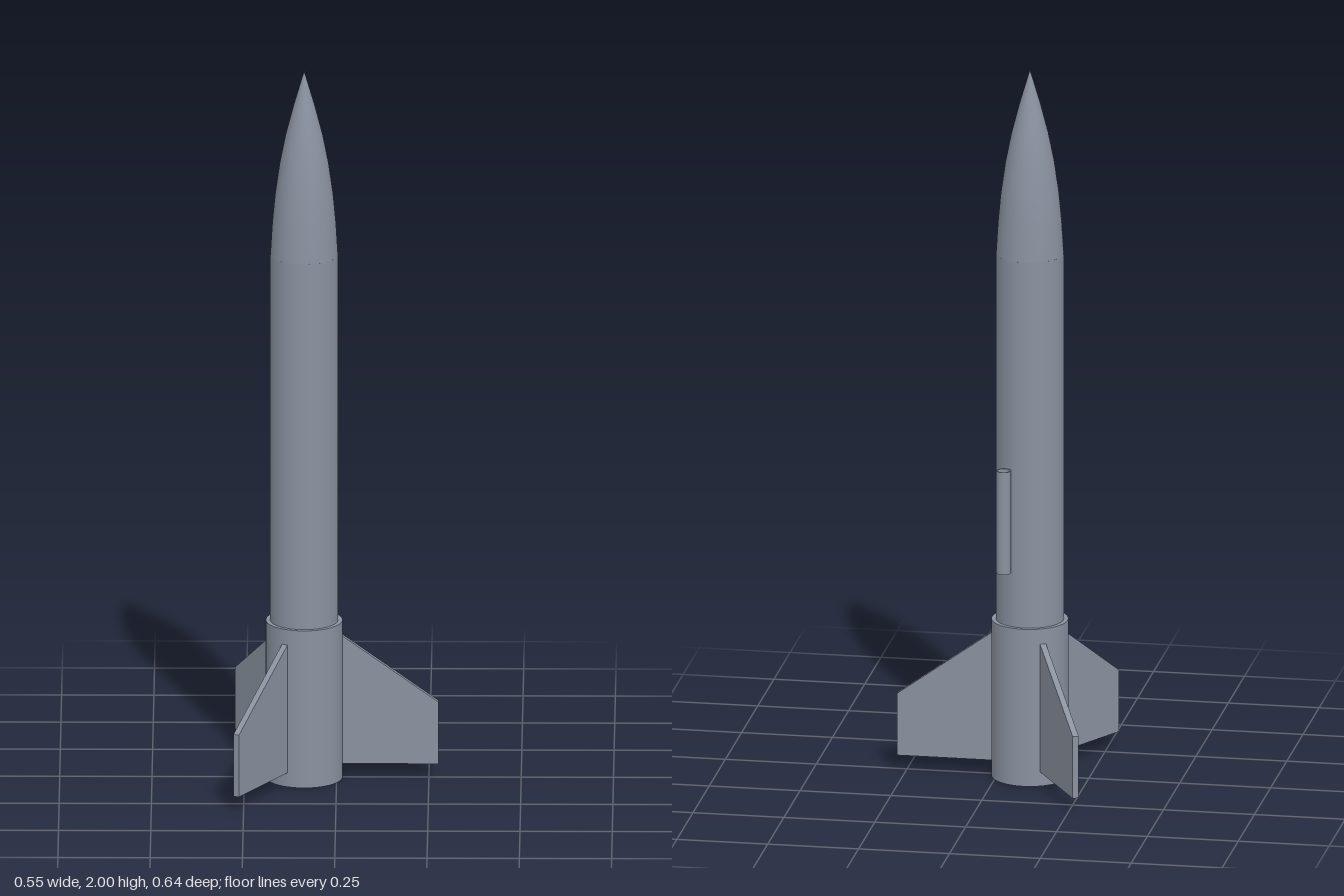
import * as THREE from 'three';

const grey = new THREE.MeshStandardMaterial({ color: 0x8a92a0 });
grey.name = 'slate grey';

const AXIS_X = -0.088;

export function createModel() {
  const rocket = new THREE.Group();
  rocket.name = 'rocket';

  const add = (name, geometry, x = AXIS_X, y = 0, z = 0) => {
    const mesh = new THREE.Mesh(geometry, grey);
    mesh.name = name;
    mesh.position.set(x, y, z);
    rocket.add(mesh);
    return mesh;
  };

  // Hollow tube with crisp rims, standing on y = 0
  const tube = (outer, inner, height, segments) => {
    const shape = new THREE.Shape().absarc(0, 0, outer, 0, Math.PI * 2, false);
    shape.holes.push(new THREE.Path().absarc(0, 0, inner, 0, Math.PI * 2, true));
    const geometry = new THREE.ExtrudeGeometry(shape, {
      depth: height, bevelEnabled: false, curveSegments: segments,
    });
    geometry.rotateX(-Math.PI / 2);
    // Smooth the walls by pointing their normals radially
    const p = geometry.attributes.position, n = geometry.attributes.normal;
    for (let i = 0; i < p.count; i++) {
      if (Math.abs(n.getY(i)) > 0.5) continue;
      const r = Math.hypot(p.getX(i), p.getZ(i));
      const side = r > (outer + inner) / 2 ? 1 : -1;
      n.setXYZ(i, side * p.getX(i) / r, 0, side * p.getZ(i) / r);
    }
    return geometry;
  };

  // Body and the wider sleeve carrying the fins
  add('bodyTube', tube(0.092, 0.086, 1.48, 48));
  add('finSleeve', tube(0.104, 0.086, 0.445, 48));

  // Ogive nose with a closed base
  const profile = [
    [0, 1.48], [0.086, 1.48], [0.092, 1.48], [0.0865, 1.57], [0.079, 1.65],
    [0.066, 1.74], [0.05, 1.82], [0.028, 1.905], [0, 2],
  ].map(([r, y]) => new THREE.Vector2(r, y));
  add('noseCone', new THREE.LatheGeometry(profile.slice(2), 48));
  add('noseBase', new THREE.LatheGeometry(profile.slice(0, 3), 48));

  // Three swept fins, 120 degrees apart
  const THICK = 0.017;
  const outline = new THREE.Shape(
    [[0.098, 0.04], [0.364, 0.04], [0.364, 0.215], [0.098, 0.406]]
      .map(([x, y]) => new THREE.Vector2(x, y)));
  const finGeometry = new THREE.ExtrudeGeometry(outline, { depth: THICK, bevelEnabled: false });
  finGeometry.translate(0, 0, -THICK / 2);
  for (let i = 0; i < 3; i++) {
    add('fin' + (i + 1), finGeometry).rotation.y = (i * Math.PI * 2) / 3;
  }

  // Small launch guide tube on the back
  add('launchLug', tube(0.02, 0.0165, 0.29, 24), -0.033, 0.6, -0.098);

  return rocket;
}
